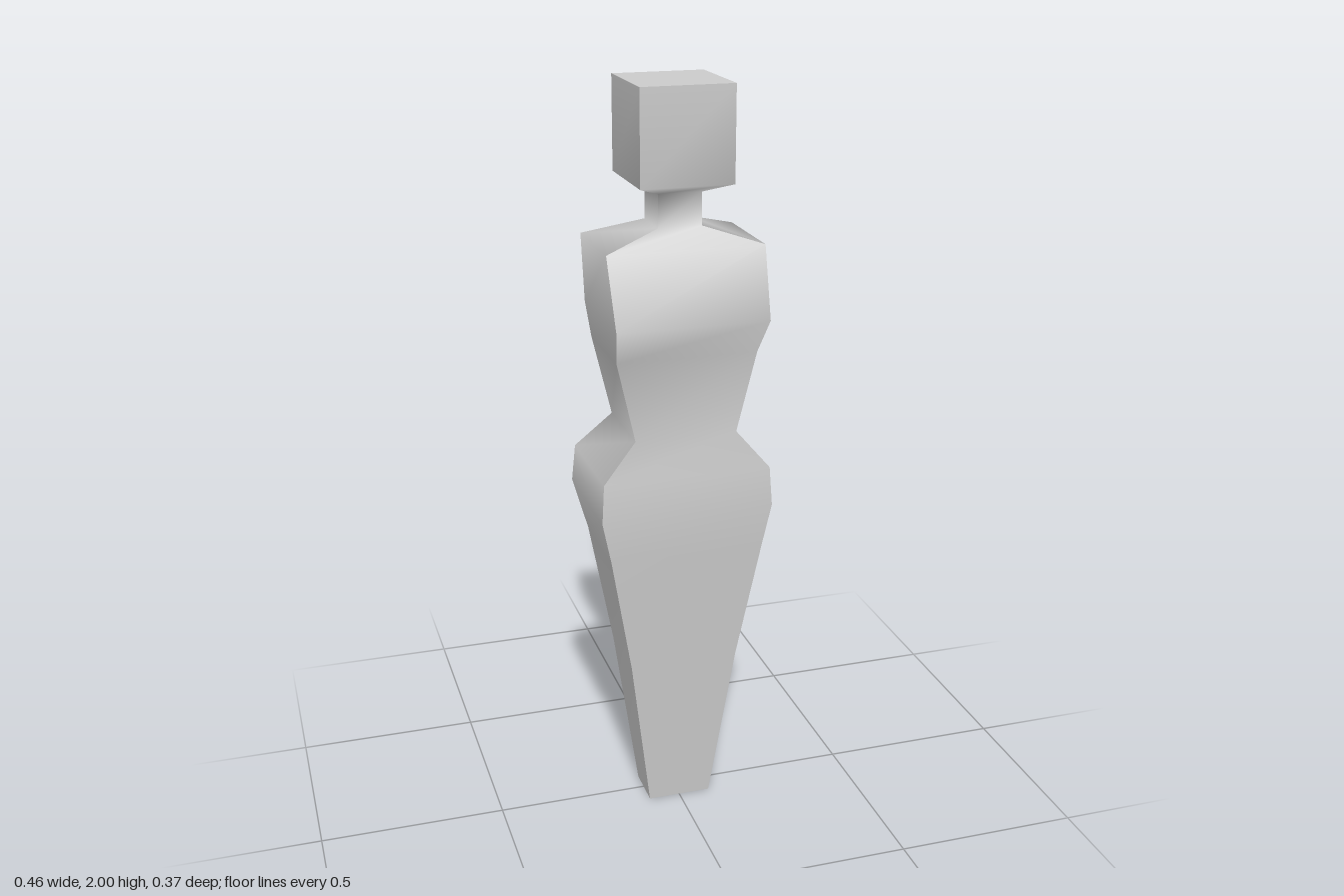
import * as THREE from 'three';

// Rectangular cross-sections from feet to crown: [y, half width, front z, back z]
const SECTIONS = [
  [0, 0.087, 0.066, -0.055],
  [0.45, 0.148, 0.107, -0.086],
  [0.785, 0.208, 0.137, -0.11],
  [0.9, 0.232, 0.143, -0.187],
  [1.005, 0.225, 0.138, -0.172],
  [1.11, 0.136, 0.122, -0.112],
  [1.325, 0.186, 0.132, -0.12],
  [1.42, 0.2, 0.187, -0.128],
  [1.6, 0.206, 0.122, -0.136],
  [1.645, 0.057, 0.064, -0.056],
  [1.73, 0.057, 0.064, -0.056],
  [1.757, 0.121, 0.13, -0.125],
  [2, 0.121, 0.13, -0.125],
];

// Each part spans a run of sections
const PARTS = { legs: [0, 3], hips: [3, 5], torso: [5, 9], neck: [9, 10], head: [10, 12] };

const corners = ([y, w, f, b]) => [[-w, y, f], [w, y, f], [w, y, b], [-w, y, b]];

export function createModel() {
  const group = new THREE.Group();
  group.name = 'figure';
  const material = new THREE.MeshStandardMaterial({ color: 0xcccccc });
  const positions = [];
  const last = SECTIONS.length - 1;
  const rowStart = (side, row) => (side * SECTIONS.length + row) * 2;

  // Four separate walls: smooth along the height, sharp at the corners
  for (let side = 0; side < 4; side++) {
    for (const section of SECTIONS) {
      const c = corners(section);
      positions.push(...c[side], ...c[(side + 1) % 4]);
    }
  }
  // Flat caps under the feet and on the crown
  const capStart = positions.length / 3;
  positions.push(...corners(SECTIONS[0]).flat(), ...corners(SECTIONS[last]).flat());
  const bottom = [0, 2, 1, 0, 3, 2].map((i) => capStart + i);
  const top = [4, 5, 6, 4, 6, 7].map((i) => capStart + i);

  const walls = (from, to) => {
    const index = [];
    for (let side = 0; side < 4; side++) {
      for (let row = from; row < to; row++) {
        const a = rowStart(side, row), d = rowStart(side, row + 1);
        index.push(a, a + 1, d + 1, a, d + 1, d);
      }
    }
    return index;
  };

  // Normals are shared by the whole body, so parts blend where they meet
  const body = new THREE.BufferGeometry();
  body.setAttribute('position', new THREE.Float32BufferAttribute(positions, 3));
  body.setIndex([...walls(0, last), ...bottom, ...top]);
  body.computeVertexNormals();

  for (const [name, [from, to]] of Object.entries(PARTS)) {
    const index = walls(from, to);
    if (from === 0) index.push(...bottom);
    if (to === last) index.push(...top);
    const mesh = new THREE.Mesh(body.clone().setIndex(index).toNonIndexed(), material);
    mesh.name = name;
    group.add(mesh);
  }
  return group;
}
